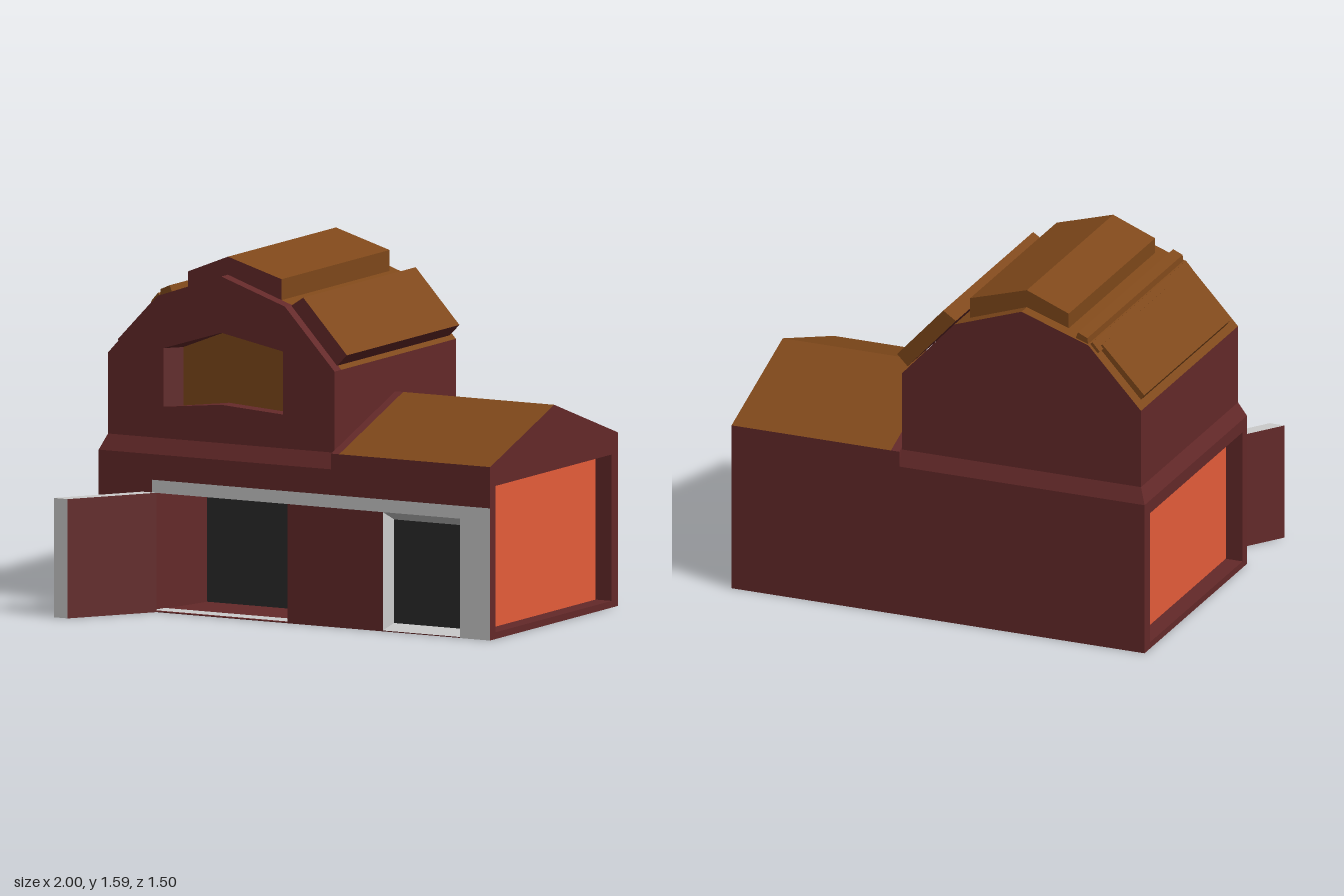
import * as THREE from 'three';

const RED = 0x642929, BROWN = 0x7f481a, ORANGE = 0xe65d3a, GLASS = 0x2b2b2b, GREY = 0xcccccc;
const mats = {};
const mat = (c) => (mats[c] ??= new THREE.MeshStandardMaterial({ color: c, side: THREE.DoubleSide, flatShading: true }));

export function createModel() {
  const root = new THREE.Group();

  // One mesh from a list of flat convex polygons (arrays of [x, y, z])
  function part(name, color, polys, parent = root) {
    const pos = [];
    for (const p of polys)
      for (let i = 1; i < p.length - 1; i++) pos.push(...p[0], ...p[i], ...p[i + 1]);
    const g = new THREE.BufferGeometry();
    g.setAttribute('position', new THREE.Float32BufferAttribute(pos, 3));
    g.computeVertexNormals();
    const m = new THREE.Mesh(g, mat(color));
    m.name = name;
    parent.add(m);
  }

  // Flat wall with holes; map turns (u, v) into [x, y, z]
  function wall(name, color, outline, holes, map) {
    const v2 = (a) => a.map(([u, v]) => new THREE.Vector2(u, v));
    const s = new THREE.Shape(v2(outline));
    holes.forEach((h) => s.holes.push(new THREE.Path(v2(h))));
    const g = new THREE.ShapeGeometry(s), p = g.attributes.position;
    for (let i = 0; i < p.count; i++) p.setXYZ(i, ...map(p.getX(i), p.getY(i)));
    g.computeVertexNormals();
    const m = new THREE.Mesh(g, mat(color));
    m.name = name;
    root.add(m);
  }

  // Reveal from an outer loop back to an inner loop, closed by a panel
  function recess(name, outer, inner, sideColor, panelColor) {
    part(name + 'Reveal', sideColor, outer.map((a, i) => {
      const j = (i + 1) % outer.length;
      return [a, outer[j], inner[j], inner[i]];
    }));
    part(name + 'Panel', panelColor, [inner]);
  }

  // Convex profile in x, y run along z; redSides lists the edges painted red
  function prism(name, pts, z0, z1, redSides = [], front = RED, back = BROWN) {
    const g = new THREE.Group();
    g.name = name;
    root.add(g);
    pts.forEach(([x, y], i) => {
      const [u, v] = pts[(i + 1) % pts.length];
      part(name + 'Side', redSides.includes(i) ? RED : BROWN, [[[x, y, z1], [u, v, z1], [u, v, z0], [x, y, z0]]], g);
    });
    part(name + 'Front', front, [pts.map(([x, y]) => [x, y, z1])], g);
    part(name + 'Back', back, [pts.map(([x, y]) => [x, y, z0])], g);
  }

  const rect = (a, b, c, d) => [[a, b], [c, b], [c, d], [a, d]];
  const onZ = (z) => (u, v) => [u, v, z];
  const onX = (x) => (u, v) => [x, v, u];
  const lift = (pts, map) => pts.map(([u, v]) => map(u, v));
  const ZB = -0.75, ZF = 0.4, ZR = -0.175;

  // Ground floor: long walls and floor
  const longWall = [[-0.97, 0], [1, 0], [1, 0.77], [0.2, 0.77], [0.2, 0.7], [-0.97, 0.7]];
  const door = rect(-0.7, 0.004, -0.02, 0.53), shop = rect(0.46, 0.004, 0.85, 0.53);
  wall('frontWall', RED, longWall, [door, shop], onZ(ZF));
  wall('backWall', RED, longWall, [], onZ(ZB));
  part('floor', RED, [[[-0.97, 0, ZB], [1, 0, ZB], [1, 0, ZF], [-0.97, 0, ZF]]]);

  // End walls with their large recessed panels
  const gable = [[ZB, 0], [ZF, 0], [ZF, 0.77], [ZR, 0.97], [ZB, 0.77]];
  const rightHole = rect(-0.69, 0.03, 0.35, 0.68), leftHole = rect(-0.69, 0.03, 0.35, 0.64);
  wall('wingEndWall', RED, gable, [rightHole], onX(1));
  recess('wingEnd', lift(rightHole, onX(1)), lift(rightHole, onX(0.92)), RED, ORANGE);
  wall('barnEndWall', RED, rect(ZB, 0, ZF, 0.7), [leftHole], onX(-0.97));
  recess('barnEnd', lift(leftHole, onX(-0.97)), lift(leftHole, onX(-0.89)), RED, ORANGE);

  // Doorway, shop window and pale trim on the front
  recess('doorway', lift(door, onZ(ZF)), lift(rect(-0.62, 0.004, -0.02, 0.53), onZ(0.05)), RED, GLASS);
  part('threshold', GREY, [[[-0.7, 0.008, ZF], [-0.02, 0.008, ZF], [-0.02, 0.008, 0.32], [-0.68, 0.008, 0.32]]]);
  recess('shopWindow', lift(shop, onZ(ZF)), lift(rect(0.48, 0.03, 0.825, 0.49), onZ(0.335)), GREY, GLASS);
  part('frontTrim', GREY, [
    lift(rect(-0.7, 0.53, 1, 0.587), onZ(ZF + 0.003)),
    lift(rect(0.85, 0, 1, 0.53), onZ(ZF + 0.003)),
  ]);

  // Open door leaf
  const plan = [[-1, 0.75], [-0.93, 0.75], [-0.68, 0.4], [-0.75, 0.4]];
  const leafSide = (i) => {
    const [a, b] = [plan[i], plan[(i + 1) % 4]];
    return [[a[0], 0, a[1]], [b[0], 0, b[1]], [b[0], 0.53, b[1]], [a[0], 0.53, a[1]]];
  };
  part('doorLeafFaces', RED, [leafSide(1), leafSide(3)]);
  part('doorLeafEdges', GREY, [leafSide(0), leafSide(2), ...[0, 0.53].map((y) => plan.map(([x, z]) => [x, y, z]))]);

  // Wing roof with a red flashing strip beside the barn
  const slopes = (a, b) => [ZF, ZB].map((z) => [[a, 0.77, z], [b, 0.77, z], [b, 0.97, ZR], [a, 0.97, ZR]]);
  part('wingRoof', BROWN, slopes(0.24, 1));
  part('wingFlashing', RED, slopes(0.2, 0.24));
  wall('wingInnerGable', RED, [[ZB, 0.7], [ZF, 0.7], [ZF, 0.77], [ZR, 0.97], [ZB, 0.77]], [], onX(0.2));

  // Sloping ledge between ground floor and barn
  const low = [[-0.97, 0.7, ZF], [0.21, 0.7, ZF], [0.21, 0.7, ZB], [-0.97, 0.7, ZB]];
  const high = [[-0.94, 0.77, 0.37], [0.2, 0.77, 0.37], [0.2, 0.77, -0.72], [-0.94, 0.77, -0.72]];
  part('ledge', RED, low.map((a, i) => [a, low[(i + 1) % 4], high[(i + 1) % 4], high[i]]));

  // Barn: gambrel ends, side walls and roof slopes
  const barn = [[-0.94, 0.77], [-0.94, 1.13], [-0.69, 1.4], [-0.37, 1.51], [-0.05, 1.4], [0.2, 1.13], [0.2, 0.77]];
  const loft = [[-0.66, 0.91], [-0.37, 0.94], [-0.06, 0.92], [-0.06, 1.2], [-0.37, 1.26], [-0.66, 1.17]];
  const loftBack = loft.map(([x, y]) => [Math.max(x, -0.6), y]);
  wall('barnFront', RED, barn, [loft], onZ(0.37));
  wall('barnBack', RED, barn, [], onZ(-0.72));
  recess('loftWindow', lift(loft, onZ(0.37)), lift(loftBack, onZ(0.3)), RED, BROWN);
  const strip = (i, z0, z1) => {
    const [a, b] = [barn[i], barn[i + 1]];
    return [[...a, z1], [...b, z1], [...b, z0], [...a, z0]];
  };
  part('barnSideWalls', RED, [strip(0, -0.72, 0.37), strip(5, -0.72, 0.37)]);
  part('barnRoof', BROWN, [strip(1, -0.72, 0.37), strip(2, -0.72, 0.37), strip(3, -0.72, 0.31), strip(4, -0.72, 0.31)]);
  part('barnRoofFrontRim', RED, [strip(3, 0.31, 0.37), strip(4, 0.31, 0.37)]);

  // Raised roof cap and overhanging slabs
  prism('ridgeCap', [[-0.57, 1.42], [-0.57, 1.51], [-0.37, 1.59], [-0.1, 1.51], [-0.1, 1.41]], -0.66, 0.31);
  prism('rightRoofSlab', [[-0.04, 1.4], [0.02, 1.44], [0.24, 1.2], [0.19, 1.15]], -0.68, 0.33, [2, 3]);
  prism('leftRoofSlab', [[-0.91, 1.15], [-0.93, 1.18], [-0.73, 1.39], [-0.71, 1.37]], -0.66, 0.3);

  // Two battens above the left slab
  prism('lowerBatten', [[-0.735, 1.37], [-0.7, 1.41], [-0.68, 1.39], [-0.71, 1.35]], -0.7, 0.35, [], BROWN);
  prism('upperBatten', [[-0.685, 1.39], [-0.68, 1.43], [-0.635, 1.45], [-0.62, 1.41]], -0.71, 0.36, [], BROWN);

  return root;
}
